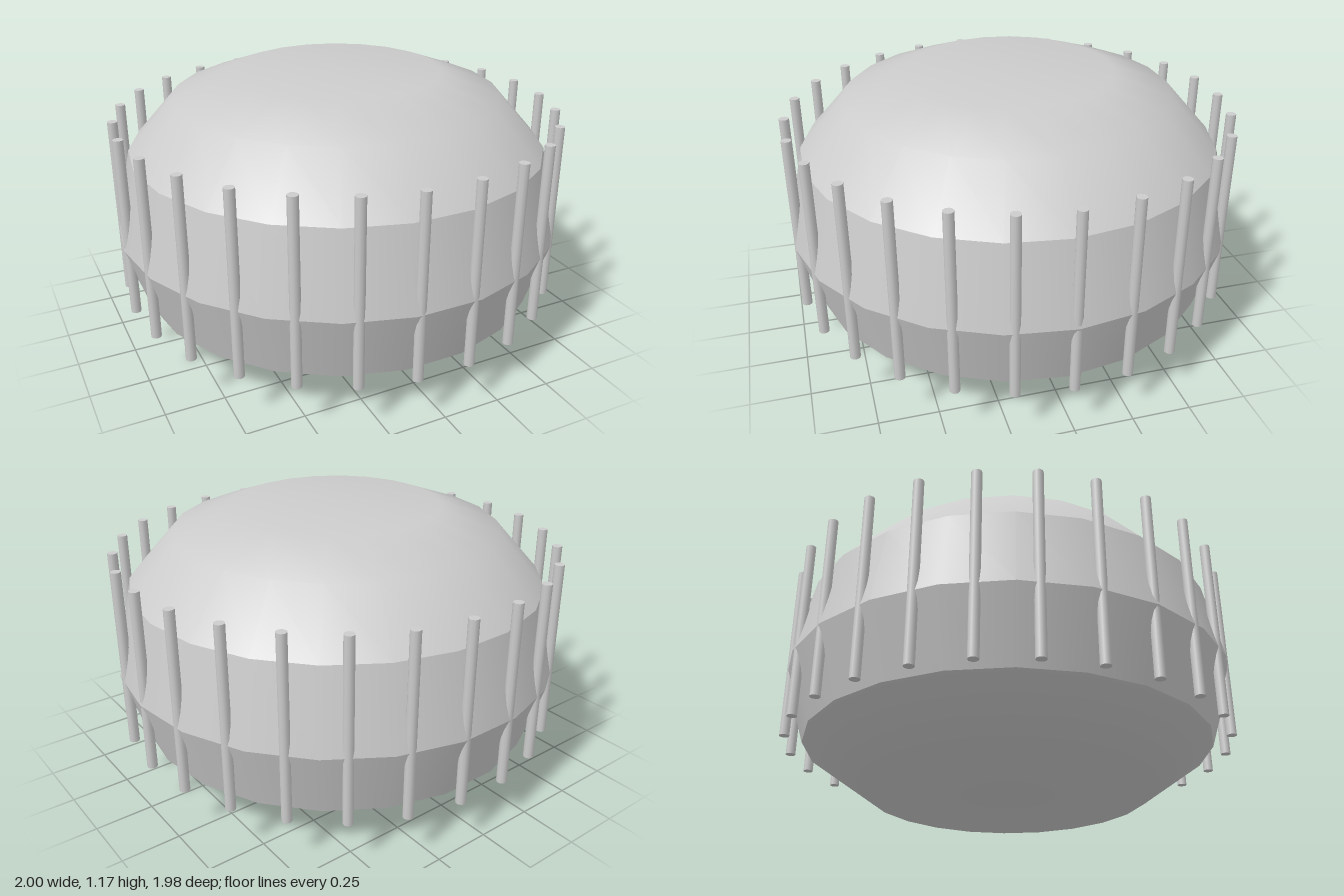
import * as THREE from 'three';

const SIDES = 22;
const POSTS = 26;

export function createModel() {
  const group = new THREE.Group();
  const material = new THREE.MeshStandardMaterial({ color: 0xcccccc });

  // Each band is a smooth lathe; edges between bands stay sharp.
  const bands = {
    bottomBowl: [[0, 0], [0.62, 0], [0.905, 0.2]],
    lowerWall: [[0.905, 0.2], [1, 0.5]],
    upperWall: [[1, 0.5], [0.925, 0.85]],
    topDome: [[0.925, 0.85], [0.72, 1.08], [0.46, 1.175], [0, 1.175]],
  };
  for (const [name, profile] of Object.entries(bands)) {
    const points = profile.map(([r, y]) => new THREE.Vector2(r, y));
    const band = new THREE.Mesh(new THREE.LatheGeometry(points, SIDES, Math.PI / 2), material);
    band.name = name;
    group.add(band);
  }

  // Ring of upright posts, sunk into the wall at its widest line
  const posts = new THREE.Group();
  posts.name = 'posts';
  const postGeometry = new THREE.CylinderGeometry(0.022, 0.022, 0.8, 10);
  for (let i = 0; i < POSTS; i++) {
    const angle = (i / POSTS) * Math.PI * 2;
    const post = new THREE.Mesh(postGeometry, material);
    post.name = 'post';
    post.position.set(0.976 * Math.cos(angle), 0.6, 0.976 * Math.sin(angle));
    posts.add(post);
  }
  group.add(posts);

  return group;
}
